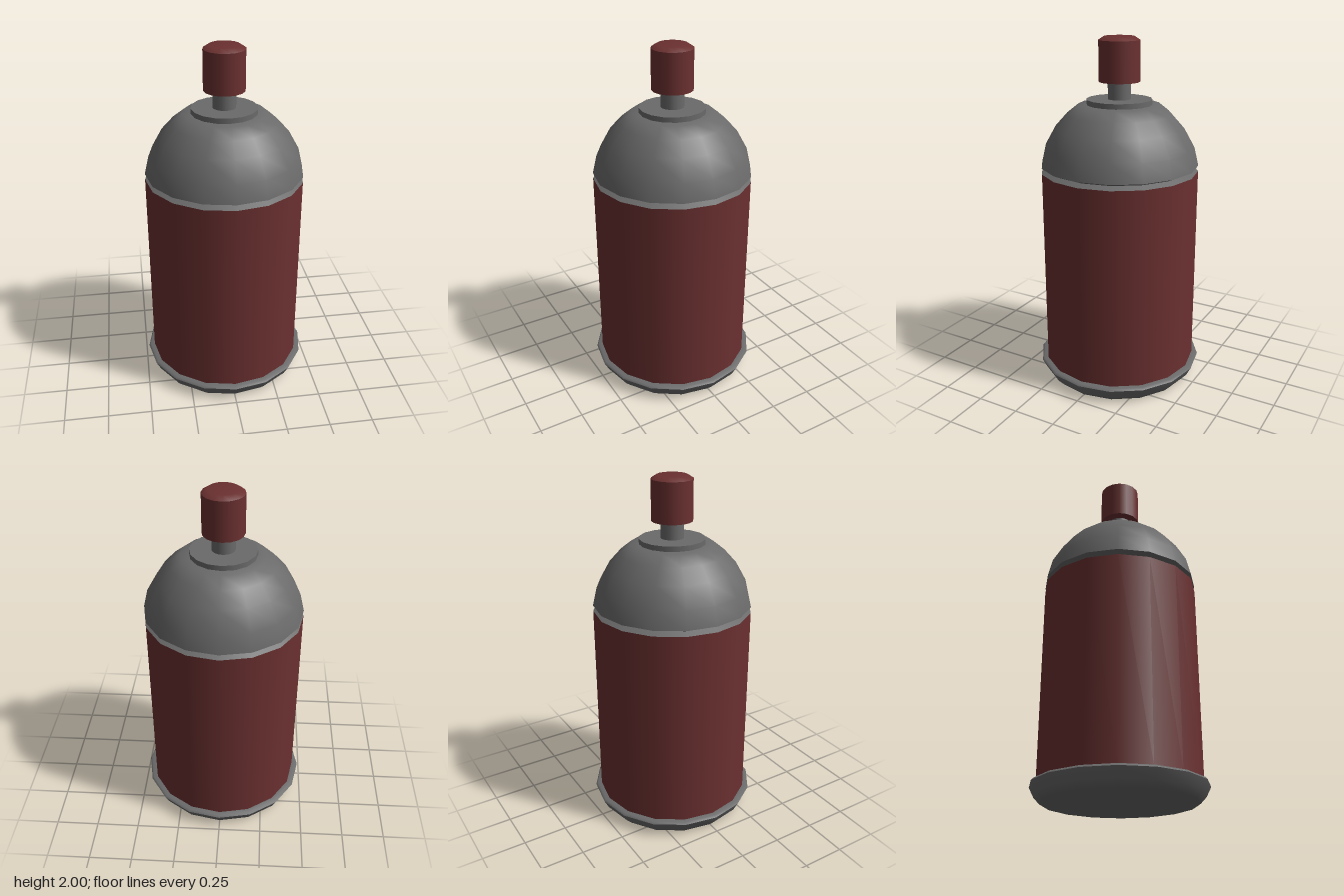
import * as THREE from 'three';

const SIDES = 16;

// Each run is a smooth strip of [radius, height] points; edges between runs stay sharp.
function turned(name, material, runs) {
  const part = new THREE.Group();
  part.name = name;
  runs.forEach((run, i) => {
    const points = run.map(([r, y]) => new THREE.Vector2(r, y));
    const mesh = new THREE.Mesh(new THREE.LatheGeometry(points, SIDES), material);
    mesh.name = `${name}Surface${i + 1}`;
    part.add(mesh);
  });
  return part;
}

export function createModel() {
  const metal = new THREE.MeshStandardMaterial({ color: 0x6a6a6a });
  metal.name = 'grey metal';
  const paint = new THREE.MeshStandardMaterial({ color: 0x6b3030 });
  paint.name = 'dark red paint';

  const model = new THREE.Group();
  model.name = 'sprayCan';
  model.add(
    // Rounded foot with a flat ledge around the body
    turned('baseRim', metal, [
      [[0, 0], [0.425, 0], [0.458, 0.035], [0.485, 0.088]],
      [[0.485, 0.088], [0.475, 0.1], [0.44, 0.1]],
    ]),
    // Painted cylinder
    turned('body', paint, [[[0.45, 0.1], [0.45, 1.257]]]),
    // Grooved seam between body and dome
    turned('seam', metal, [
      [[0.45, 1.257], [0.415, 1.275]],
      [[0.415, 1.275], [0.45, 1.29]],
    ]),
    // Domed shoulder
    turned('dome', metal, [
      [[0.45, 1.29], [0.425, 1.395], [0.365, 1.502], [0.295, 1.58], [0.232, 1.63], [0.15, 1.632]],
    ]),
    // Valve collar
    turned('collar', metal, [
      [[0.185, 1.63], [0.185, 1.66]],
      [[0.185, 1.66], [0, 1.66]],
    ]),
    // Valve stem
    turned('stem', metal, [[[0.065, 1.66], [0.065, 1.756]]]),
    // Push button with a bevelled top
    turned('nozzle', paint, [
      [[0, 1.756], [0.116, 1.756]],
      [[0.116, 1.756], [0.116, 1.98]],
      [[0.116, 1.98], [0.085, 2], [0, 2]],
    ]),
  );
  return model;
}
